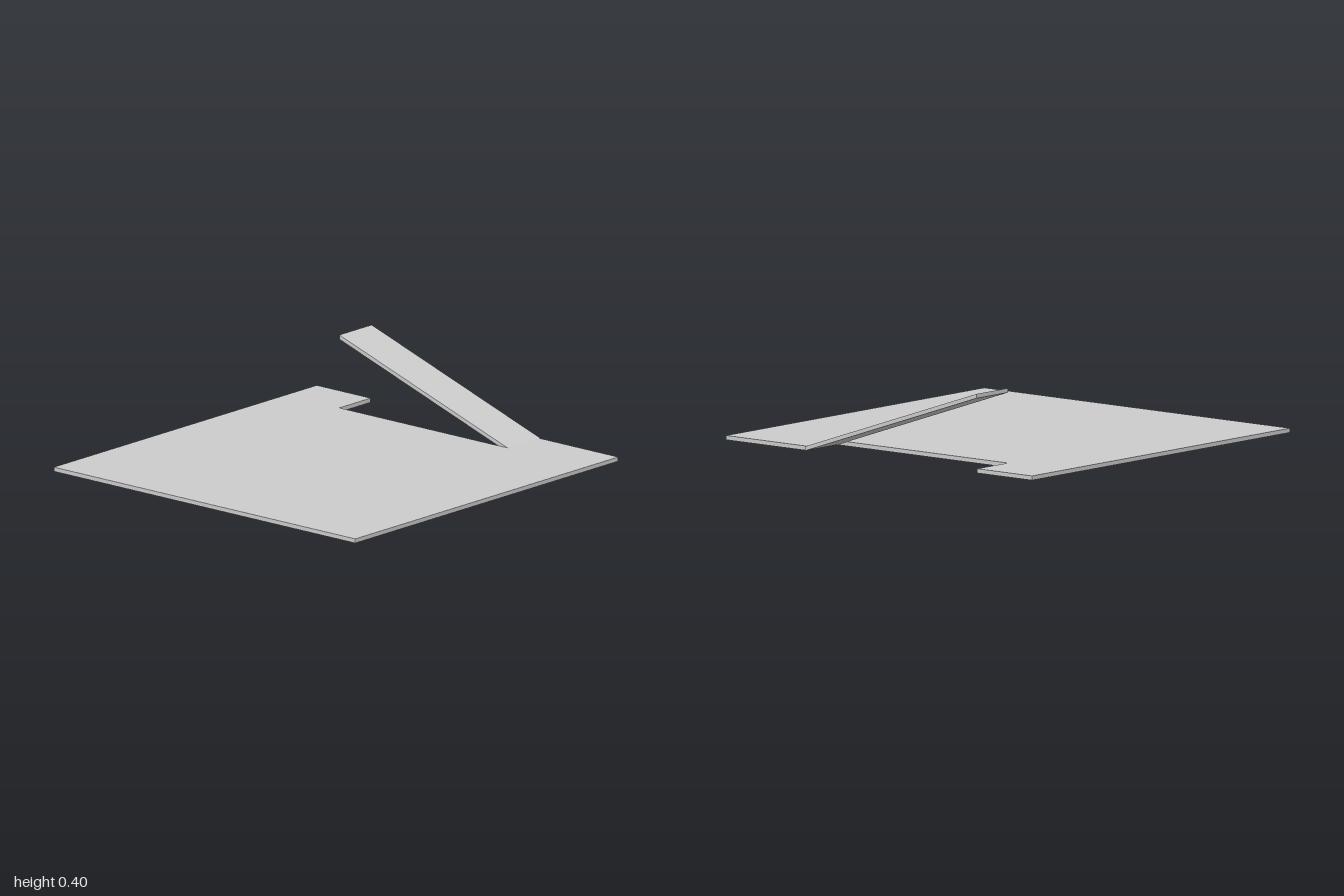
import * as THREE from 'three';

const material = new THREE.MeshStandardMaterial({ color: 0xcccccc, flatShading: true });

// Extrudes a closed outline of [x, y] points by depth.
function extrude(points, depth) {
  const shape = new THREE.Shape(points.map(([x, y]) => new THREE.Vector2(x, y)));
  return new THREE.ExtrudeGeometry(shape, { depth, bevelEnabled: false });
}

export function createModel() {
  const group = new THREE.Group();
  const thickness = 0.022;
  const inner = 0.755;   // inner side of the cut-out and the flap
  const hinge = 0.475;   // z where the flap leaves the plate
  const tip = -0.64;     // z of the raised end

  // Flat plate with a slot cut from its left edge (outline y is -z)
  const plateGeo = extrude([
    [-1, -1], [0.993, -1], [0.993, -hinge], [inner, -hinge],
    [inner, -tip], [0.993, -tip], [0.993, 0.997], [-1, 0.997],
  ], thickness);
  plateGeo.rotateX(-Math.PI / 2);
  const plate = new THREE.Mesh(plateGeo, material);
  plate.name = 'basePlate';
  group.add(plate);

  // Sloping flap folded up out of the slot (outline x is -z)
  const rampGeo = extrude([
    [-hinge, 0], [-tip, 0.378], [-tip, 0.4], [-hinge, thickness],
  ], 1 - inner);
  rampGeo.rotateY(Math.PI / 2);
  rampGeo.translate(inner, 0, 0);
  const ramp = new THREE.Mesh(rampGeo, material);
  ramp.name = 'raisedRamp';
  group.add(ramp);

  return group;
}
